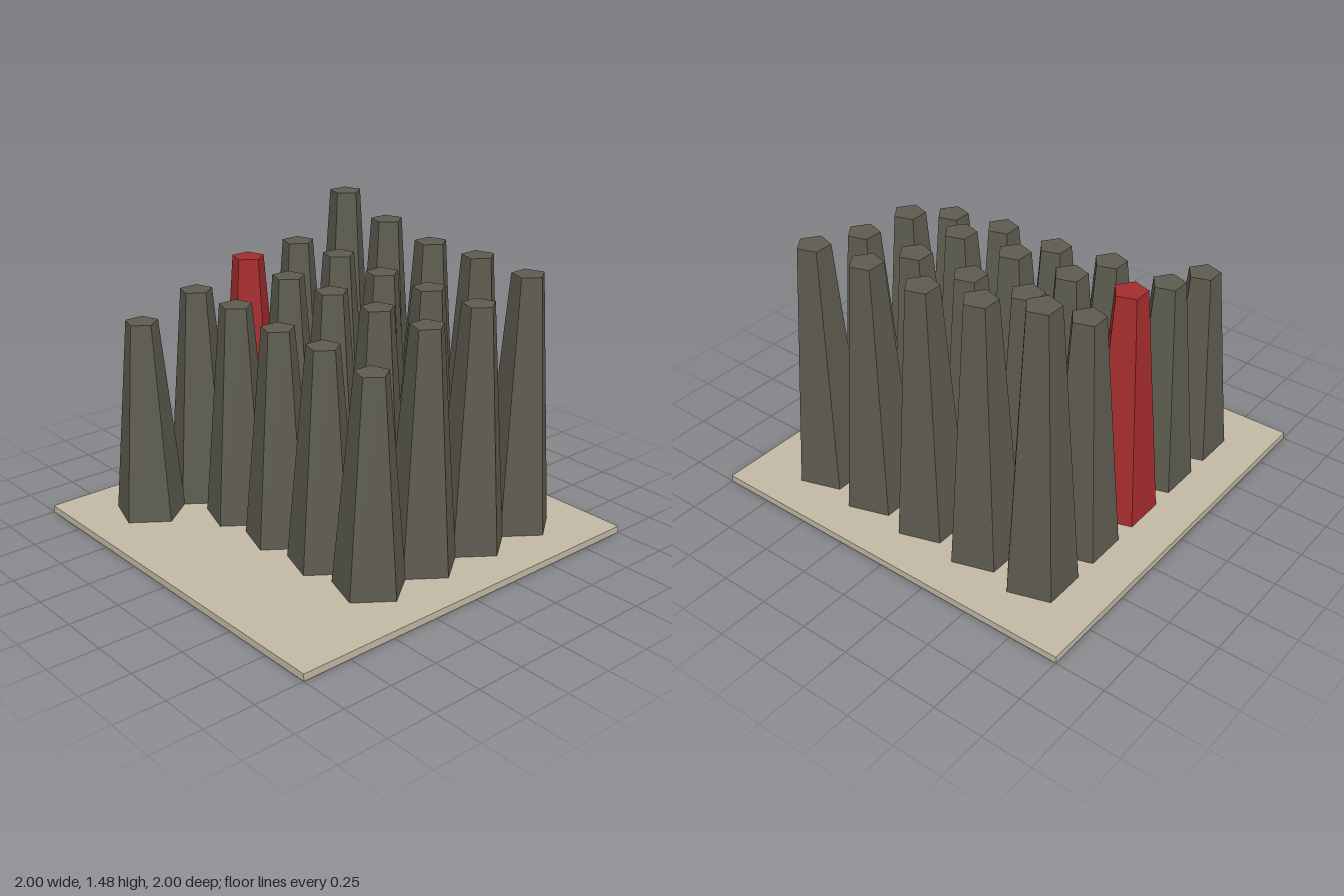
import * as THREE from 'three';

export function createModel() {
  const model = new THREE.Group();
  const sand = new THREE.MeshStandardMaterial({ name: 'sand', color: 0xc2b8a4 });
  const darkStone = new THREE.MeshStandardMaterial({ name: 'darkStone', color: 0x5d5b4f });
  const red = new THREE.MeshStandardMaterial({ name: 'red', color: 0xa52c2e });
  for (const m of [sand, darkStone, red]) m.flatShading = true;

  // Base slab
  const thickness = 0.035;
  const base = new THREE.Mesh(new THREE.BoxGeometry(2, thickness, 2), sand);
  base.name = 'base';
  base.position.y = thickness / 2;
  model.add(base);

  // Tapered five-sided pillars, filled row by row from the back, tallest first
  const tops = [
    [1.475, 1.385, 1.335, 1.335, 1.315],
    [1.262, 1.262, 1.24, 1.24, 1.24],
    [1.238, 1.21, 1.21, 1.21, 1.21],
    [1.13, 1.13, 1.1, 1.1, 1.07],
    [1.035],
  ];
  const spacing = 0.3225;
  tops.forEach((row, r) => row.forEach((top, c) => {
    const height = top - thickness;
    const accent = r === 2 && c === 0;
    // One corner points to +x
    const geometry = new THREE.CylinderGeometry(0.082, 0.178, height, 5, 1, false, Math.PI / 2);
    const pillar = new THREE.Mesh(geometry, accent ? red : darkStone);
    pillar.name = accent ? 'accentPillar' : `pillar_${r + 1}_${c + 1}`;
    pillar.position.set((c - 2) * spacing, thickness + height / 2, (r - 2) * spacing);
    model.add(pillar);
  }));

  return model;
}
